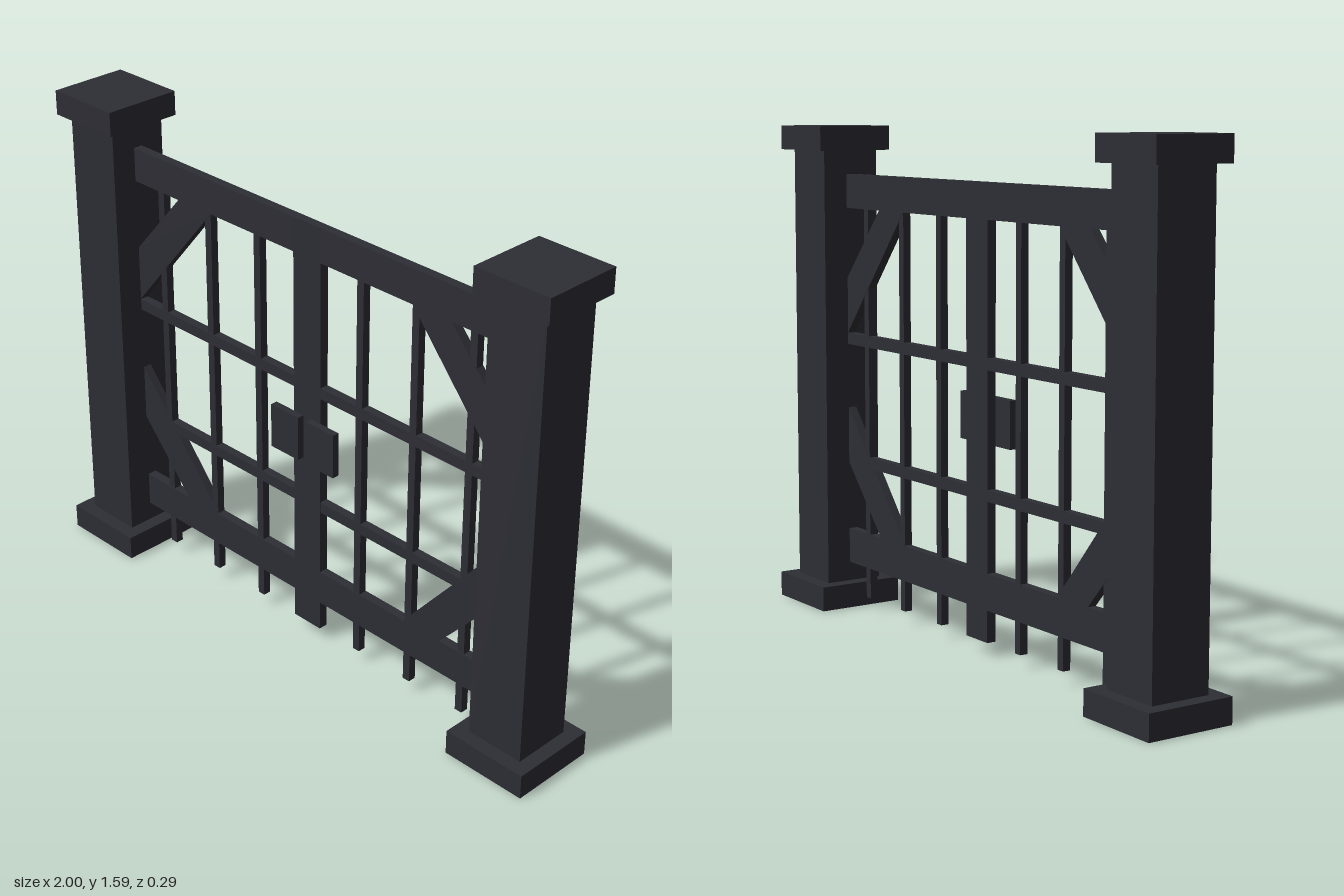
import * as THREE from 'three';

export function createModel() {
  const root = new THREE.Group();
  root.name = 'gate';
  const iron = new THREE.MeshStandardMaterial({ color: 0x2d2d35 });
  iron.name = 'dark iron';

  // box given by its centre x, vertical range, width and depth
  const box = (parent, name, x, y0, y1, w, d, z = 0) => {
    const mesh = new THREE.Mesh(new THREE.BoxGeometry(w, y1 - y0, d), iron);
    mesh.name = name;
    mesh.position.set(x, (y0 + y1) / 2, z);
    parent.add(mesh);
  };

  // diagonal brace: flat outline extruded through the gate thickness
  const brace = (parent, name, points) => {
    const depth = 0.028;
    const shape = new THREE.Shape(points.map(([x, y]) => new THREE.Vector2(x, y)));
    const geometry = new THREE.ExtrudeGeometry(shape, { depth, bevelEnabled: false });
    geometry.translate(0, 0, -depth / 2);
    const mesh = new THREE.Mesh(geometry, iron);
    mesh.name = name;
    parent.add(mesh);
  };

  // frame shared by both leaves
  const frame = new THREE.Group();
  frame.name = 'frame';
  root.add(frame);
  box(frame, 'topRail', 0, 1.32, 1.43, 1.53, 0.03);
  box(frame, 'bottomRail', 0, 0.143, 0.257, 1.53, 0.03);
  box(frame, 'upperCrossbar', 0, 0.874, 0.911, 1.53, 0.028);
  box(frame, 'lowerCrossbar', 0, 0.477, 0.513, 1.53, 0.028);
  box(frame, 'centreStile', 0, 0.043, 1.43, 0.113, 0.03);

  for (const [side, s] of [['left', 1], ['right', -1]]) {
    // square post with base and cap
    const post = new THREE.Group();
    post.name = side + 'Post';
    root.add(post);
    box(post, 'base', s * 0.857, 0, 0.08, 0.287, 0.287);
    box(post, 'shaft', s * 0.857, 0.08, 1.507, 0.195, 0.195);
    box(post, 'cap', s * 0.857, 1.507, 1.585, 0.258, 0.258);

    // vertical bars, braces and lock plate
    const leaf = new THREE.Group();
    leaf.name = side + 'Leaf';
    root.add(leaf);
    for (const x of [0.214, 0.428, 0.642]) box(leaf, 'verticalBar', s * x, 0.043, 1.33, 0.026, 0.026);
    brace(leaf, 'upperBrace', [[s * 0.762, 0.91], [s * 0.762, 1.09], [s * 0.558, 1.322], [s * 0.413, 1.322]]);
    brace(leaf, 'lowerBrace', [[s * 0.762, 0.667], [s * 0.762, 0.483], [s * 0.558, 0.256], [s * 0.412, 0.256]]);
    box(leaf, 'lockPlate', s * 0.0745, 0.643, 0.79, 0.117, 0.023, 0.026);
  }
  return root;
}
